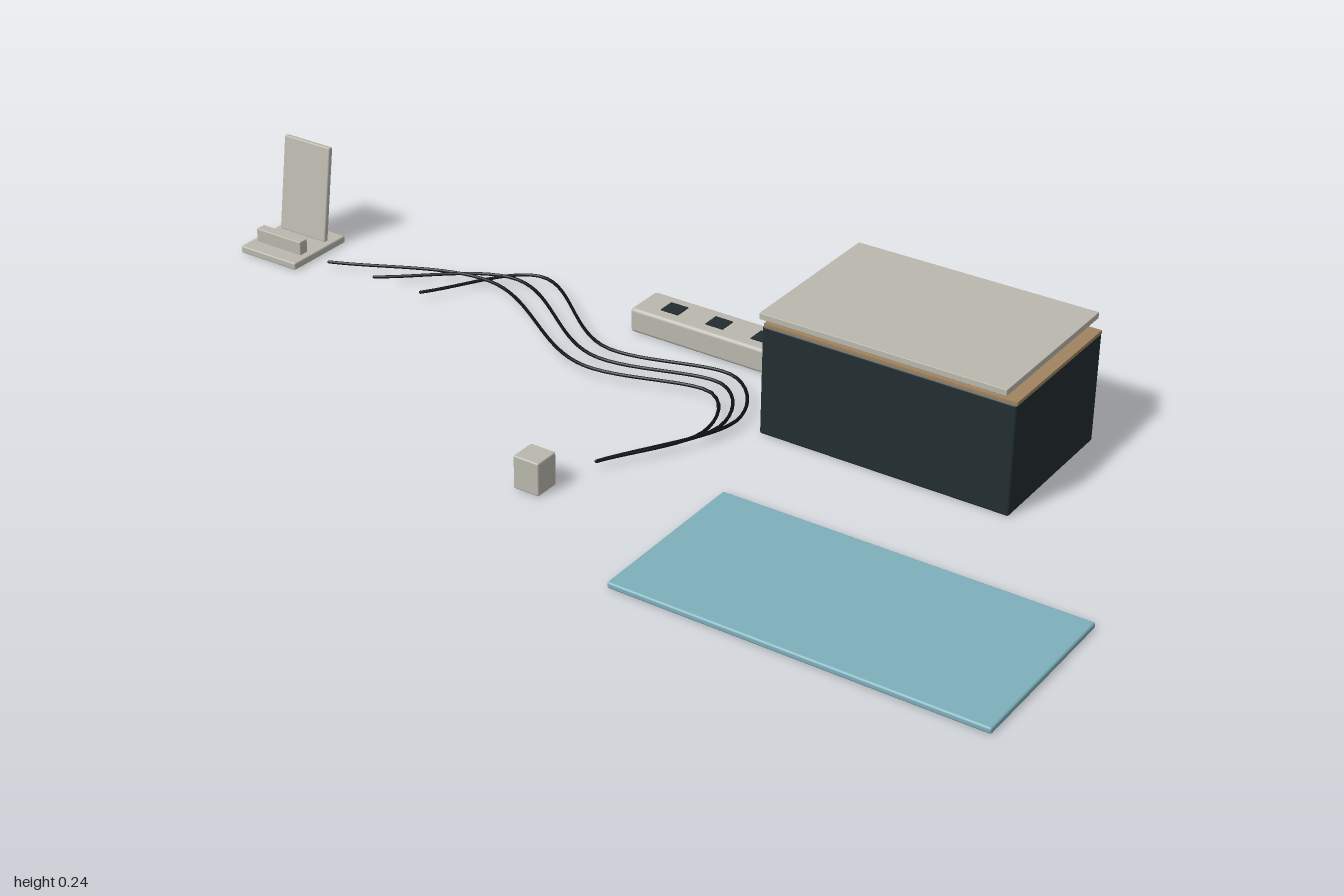
import * as THREE from 'three';
import { RoundedBoxGeometry } from 'three/addons/geometries/RoundedBoxGeometry.js';

export function createModel() {
  const root = new THREE.Group();
  root.name = 'deskAccessorySet';
  const mat = (name, color) => {
    const m = new THREE.MeshStandardMaterial({ color });
    m.name = name;
    return m;
  };
  const stone = mat('warmGrey', 0xbab8ae);
  const dark = mat('charcoal', 0x222d2f);
  const teal = mat('teal', 0x7dafbb);
  const tan = mat('tan', 0xa08460);
  const black = mat('cableBlack', 0x0e1011);

  const add = (parent, name, geometry, material) => {
    const mesh = new THREE.Mesh(geometry, material);
    mesh.name = name;
    parent.add(mesh);
    return mesh;
  };
  // Box given by its limits on each axis, with an optional edge rounding
  const block = (parent, name, [x0, x1], [y0, y1], [z0, z1], material, r = 0) => {
    const size = [x1 - x0, y1 - y0, z1 - z0];
    const geo = r ? new RoundedBoxGeometry(...size, 2, r) : new THREE.BoxGeometry(...size);
    const mesh = add(parent, name, geo, material);
    mesh.position.set((x0 + x1) / 2, (y0 + y1) / 2, (z0 + z1) / 2);
    return mesh;
  };
  const group = (name) => {
    const g = new THREE.Group();
    g.name = name;
    root.add(g);
    return g;
  };

  // Storage box with a tan liner and a lid set slightly askew
  const box = group('storageBox');
  block(box, 'boxBody', [0.235, 0.73], [0, 0.215], [-0.425, -0.11], dark, 0.004);
  block(box, 'boxLiner', [0.237, 0.73], [0.213, 0.22], [-0.424, -0.112], tan);
  block(box, 'boxLid', [0.225, 0.708], [0.2235, 0.2355], [-0.455, -0.115], stone, 0.001);

  // Desk mat
  block(root, 'deskMat', [0.3, 1], [0, 0.012], [0.108, 0.455], teal, 0.004);

  // Power strip with three sockets
  const strip = group('powerStrip');
  block(strip, 'stripBody', [-0.172, 0.208], [0, 0.05], [-0.383, -0.297], stone, 0.007);
  for (const x of [-0.1, 0, 0.1]) {
    block(strip, 'socket', [x - 0.019, x + 0.019], [0.047, 0.052], [-0.358, -0.322], dark);
  }

  // Small charger block
  block(root, 'chargerBlock', [-0.01, 0.043], [0, 0.065], [0.238, 0.29], stone, 0.003);

  // Phone stand: base, front ledge and leaning back plate
  const stand = group('phoneStand');
  block(stand, 'standBase', [-1, -0.86], [0, 0.015], [-0.284, -0.13], stone, 0.003);
  block(stand, 'standLedge', [-0.988, -0.875], [0.013, 0.043], [-0.187, -0.165], stone, 0.002);
  const plate = block(stand, 'standBack', [-0.99, -0.874], [0.012, 0.21], [-0.263, -0.252], stone, 0.003);
  plate.rotation.x = -0.15;

  // Three loose cables fanned out at one end and gathered at the other
  const cables = group('cables');
  for (let i = 0; i < 3; i++) {
    const points = [
      [-0.81 + 0.115 * i, 0.015, -0.175],
      [-0.5 + 0.035 * i, 0.018, -0.285 - 0.036 * i],
      [-0.15, 0.022, -0.105 - 0.04 * i],
      [0.11, 0.022, -0.15 - 0.038 * i],
      [0.17 + 0.013 * i, 0.02, -0.03 - 0.035 * i],
      [0.07, 0.016, 0.157],
    ].map((p) => new THREE.Vector3(...p));
    const curve = new THREE.CatmullRomCurve3(points);
    add(cables, 'cable', new THREE.TubeGeometry(curve, 64, 0.0032, 8), black);
    // Closed cable ends
    for (const t of [0, 1]) {
      add(cables, 'cableEnd', new THREE.SphereGeometry(0.0032, 8, 6), black).position.copy(curve.getPoint(t));
    }
  }
  return root;
}
